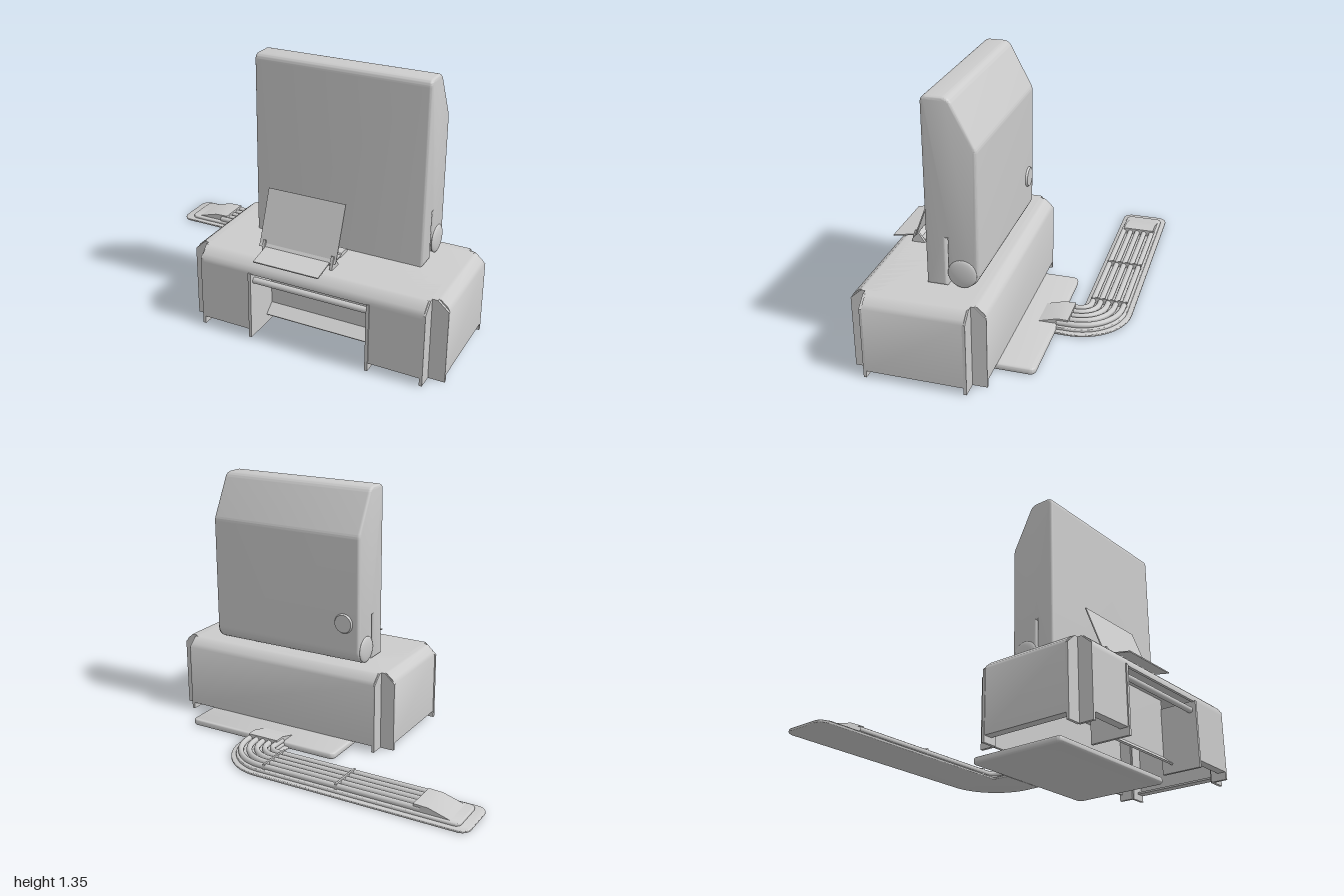
import * as THREE from 'three';
import { toCreasedNormals } from 'three/addons/utils/BufferGeometryUtils.js';

const grey = new THREE.MeshStandardMaterial({ color: 0xcccccc, side: THREE.DoubleSide });

function add(parent, name, geometry) {
  const mesh = new THREE.Mesh(geometry, grey);
  mesh.name = name;
  parent.add(mesh);
  return mesh;
}

function group(parent, name) {
  const g = new THREE.Group();
  g.name = name;
  parent.add(g);
  return g;
}

// Box given by its limits on each axis
function box(parent, name, x0, x1, y0, y1, z0, z1) {
  const m = add(parent, name, new THREE.BoxGeometry(x1 - x0, y1 - y0, z1 - z0));
  m.position.set((x0 + x1) / 2, (y0 + y1) / 2, (z0 + z1) / 2);
  return m;
}

const polygon = (pts) => new THREE.Shape(pts.map((p) => new THREE.Vector2(...p)));

function extrude(shape, length, bevel = 0) {
  const g = new THREE.ExtrudeGeometry(shape, {
    depth: length - 2 * bevel, curveSegments: 16, bevelEnabled: bevel > 0,
    bevelSize: bevel, bevelThickness: bevel, bevelOffset: -bevel, bevelSegments: 4,
  });
  return toCreasedNormals(g.translate(0, 0, bevel), 0.6);
}

// (z, y) profile swept from x0 to x1
const alongX = (shape, x0, x1, bevel) => extrude(shape, x1 - x0, bevel).rotateY(-Math.PI / 2).translate(x1, 0, 0);
// (x, y) profile swept from z0 to z1
const alongZ = (shape, z0, z1) => extrude(shape, z1 - z0).translate(0, 0, z0);
// (x, -z) plan raised from y0 to y1
const upright = (shape, y0, y1, bevel) => extrude(shape, y1 - y0, bevel).rotateX(-Math.PI / 2).translate(0, y0, 0);

// Inverted channel with chamfered shoulders, between a and b
function shellProfile(a, b, bottomA, bottomB) {
  const t = 0.015;
  return polygon([
    [a, bottomA], [a, 0.37], [a + 0.012, 0.39], [a + 0.045, 0.418], [a + 0.06, 0.42],
    [b - 0.06, 0.42], [b - 0.045, 0.418], [b - 0.012, 0.39], [b, 0.37], [b, bottomB],
    [b - t, bottomB], [b - t, 0.365], [b - 0.06, 0.405], [a + 0.06, 0.405], [a + t, 0.365], [a + t, bottomA],
  ]);
}

function roundedRect(x0, y0, x1, y1, r) {
  const s = new THREE.Shape();
  s.absarc(x1 - r, y1 - r, r, 0, Math.PI / 2);
  s.absarc(x0 + r, y1 - r, r, Math.PI / 2, Math.PI);
  s.absarc(x0 + r, y0 + r, r, Math.PI, Math.PI * 1.5);
  s.absarc(x1 - r, y0 + r, r, Math.PI * 1.5, Math.PI * 2);
  return s;
}

// Thin sheet from p to q in (z, y)
function sheet(parent, name, x0, x1, p, q, t = 0.006) {
  const dz = q[0] - p[0], dy = q[1] - p[1];
  const m = add(parent, name, new THREE.BoxGeometry(x1 - x0, t, Math.hypot(dz, dy)));
  m.position.set((x0 + x1) / 2, (p[1] + q[1]) / 2, (p[0] + q[0]) / 2);
  m.rotation.x = Math.atan2(-dy, dz);
}

function buildHousing(root) {
  const g = group(root, 'housing');
  // Two crossed shells give the notched corners
  add(g, 'frontBackShell', alongX(shellProfile(-0.07, 0.59, 0.035, 0.35), -0.25, 0.91));
  add(g, 'endShell', alongZ(shellProfile(-0.33, 1, 0.035, 0.035), 0.01, 0.5));
  for (const [x0, x1] of [[-0.25, 0.015], [0.645, 0.91]]) {
    box(g, 'frontPanel', x0, x1, 0.04, 0.352, 0.575, 0.59);
    box(g, 'bottomLedge', x0, x1, 0.04, 0.05, 0.545, 0.58);
  }
  for (const [x0, x1] of [[-0.32, -0.28], [0.95, 0.99]]) box(g, 'endLedge', x0, x1, 0.035, 0.045, 0.01, 0.5);

  // Corner fins reach down to the ground
  for (const sx of [-1, 1]) for (const sz of [-1, 1]) {
    const x = sx < 0 ? -0.25 : 0.91, z = sz < 0 ? 0.01 : 0.505;
    const w = sx < 0 ? 0.083 : 0.09, d = sz < 0 ? 0.08 : 0.085;
    const fin = (o, s, l) => polygon([[o, 0], [o + s * l, 0], [o + s * l, 0.37], [o + s * (l - 0.055), 0.42], [o, 0.42]]);
    add(g, 'cornerFin', alongZ(fin(x, sx, w), z - 0.007, z + 0.008));
    add(g, 'cornerFin', alongX(fin(z, sz, d), x - 0.007, x + 0.008));
  }

  // Output bay in the front
  for (const x of [0.012, 0.633]) {
    box(g, 'baySide', x, x + 0.015, 0, 0.355, 0.38, 0.596);
  }
  box(g, 'bayBack', 0.02, 0.64, 0.09, 0.41, 0.38, 0.39);
  sheet(g, 'bayLowerLip', 0.02, 0.64, [0.385, 0.09], [0.44, 0.045], 0.01);
  const roller = add(g, 'roller', new THREE.CylinderGeometry(0.016, 0.016, 0.6, 20).rotateZ(Math.PI / 2));
  roller.position.set(0.33, 0.308, 0.565);
}

function buildTower(root) {
  const g = group(root, 'tower');
  // Upright case with a pivot-shaped lower rear and a narrow slot
  const s = new THREE.Shape();
  s.moveTo(0.265, 0.42);
  s.lineTo(0.265, 1.31);
  s.quadraticCurveTo(0.265, 1.345, 0.23, 1.345);
  s.lineTo(0.165, 1.345);
  s.quadraticCurveTo(0.135, 1.345, 0.12, 1.318);
  s.lineTo(0.017, 1.123);
  s.quadraticCurveTo(0.01, 1.11, 0.01, 1.095);
  s.lineTo(0.01, 0.5);
  s.absarc(0.085, 0.5, 0.075, Math.PI, Math.PI * 2);
  s.lineTo(0.16, 0.665);
  s.lineTo(0.165, 0.665);
  s.lineTo(0.165, 0.42);
  add(g, 'case', alongX(s, -0.12, 0.775, 0.015));
  for (const x of [-0.12, 0.775]) {
    const knob = add(g, 'pivotKnob', new THREE.SphereGeometry(1, 28, 16));
    knob.scale.set(0.015, 0.07, 0.07);
    knob.position.set(x, 0.495, 0.09);
  }
  const button = add(g, 'backKnob', new THREE.CylinderGeometry(0.048, 0.055, 0.012, 28).rotateX(-Math.PI / 2));
  button.position.set(-0.03, 0.645, 0.006);
}

function buildPaperRest(root) {
  const g = group(root, 'paperRest');
  sheet(g, 'frontLip', 0.045, 0.39, [0.598, 0.427], [0.475, 0.45]);
  sheet(g, 'lowerSlope', 0.01, 0.42, [0.477, 0.449], [0.464, 0.465]);
  sheet(g, 'backrest', 0.01, 0.42, [0.465, 0.463], [0.37, 0.715]);
  sheet(g, 'footBend', 0.04, 0.4, [0.475, 0.45], [0.455, 0.428]);
  sheet(g, 'foot', 0.06, 0.39, [0.456, 0.427], [0.28, 0.427]);
  add(g, 'footClip', alongX(polygon([[0.28, 0.42], [0.355, 0.42], [0.345, 0.438], [0.29, 0.438]]), 0.06, 0.39));
  for (const x of [0.03, 0.395]) {
    add(g, 'bracket', alongX(polygon([[0.42, 0.42], [0.49, 0.42], [0.482, 0.455], [0.472, 0.485], [0.46, 0.48]]), x, x + 0.014));
  }
}

// Channel plan following the bend, between radii r0 and r1
function channelShape(x0, r0, r1, end, corner) {
  const cx = 0.13, cy = 0.32, s = new THREE.Shape();
  s.moveTo(cx + r0, end);
  s.lineTo(cx + r1, end);
  s.absarc(cx, cy, r1, 0, Math.PI / 2);
  s.absarc(x0 + corner, cy + r1 - corner, corner, Math.PI / 2, Math.PI);
  s.absarc(x0 + corner, cy + r0 + corner, corner, Math.PI, Math.PI * 1.5);
  s.absarc(cx, cy, r0, Math.PI / 2, 0, true);
  return s;
}

function buildCableChannel(root) {
  const g = group(root, 'cableChannel');
  add(g, 'flange', upright(channelShape(-1, 0.02, 0.275, 0.25, 0.05), 0, 0.014, 0.005));
  add(g, 'raisedBed', upright(channelShape(-0.95, 0.045, 0.25, 0.24, 0.03), 0.01, 0.028, 0.006));

  // Parallel tubes along the channel
  for (const r of [0.062, 0.102, 0.142, 0.182, 0.225]) {
    const path = new THREE.CurvePath();
    const v = (x, z) => new THREE.Vector3(x, 0.04, z);
    path.add(new THREE.LineCurve3(v(-0.75, -0.32 - r), v(0.13, -0.32 - r)));
    const k = r * 0.5523;
    path.add(new THREE.CubicBezierCurve3(v(0.13, -0.32 - r), v(0.13 + k, -0.32 - r), v(0.13 + r, -0.32 - k), v(0.13 + r, -0.32)));
    path.add(new THREE.LineCurve3(v(0.13 + r, -0.32), v(0.13 + r, -0.25)));
    add(g, 'tube', new THREE.TubeGeometry(path, 80, 0.015, 10, false));
  }
  for (const x of [-0.31, 0.1]) box(g, 'crossRib', x - 0.005, x + 0.005, 0.02, 0.058, -0.56, -0.37);

  // Wedge caps at both ends
  add(g, 'endCap', alongZ(polygon([[-0.95, 0.012], [-0.92, 0.022], [-0.79, 0.06], [-0.715, 0.063], [-0.715, 0.012]]), -0.555, -0.385));
  add(g, 'joinCap', alongX(polygon([[-0.31, 0.012], [-0.31, 0.063], [-0.255, 0.063], [-0.15, 0.033], [-0.15, 0.012]]), 0.185, 0.36));
}

export function createModel() {
  const root = new THREE.Group();
  root.name = 'deskMachine';
  buildHousing(root);
  buildTower(root);
  buildPaperRest(root);
  // Flat base under the rear of the housing
  add(root, 'basePlate', upright(roundedRect(-0.12, -0.3, 0.775, 0.255, 0.03), 0, 0.035, 0.012));
  buildCableChannel(root);
  return root;
}
